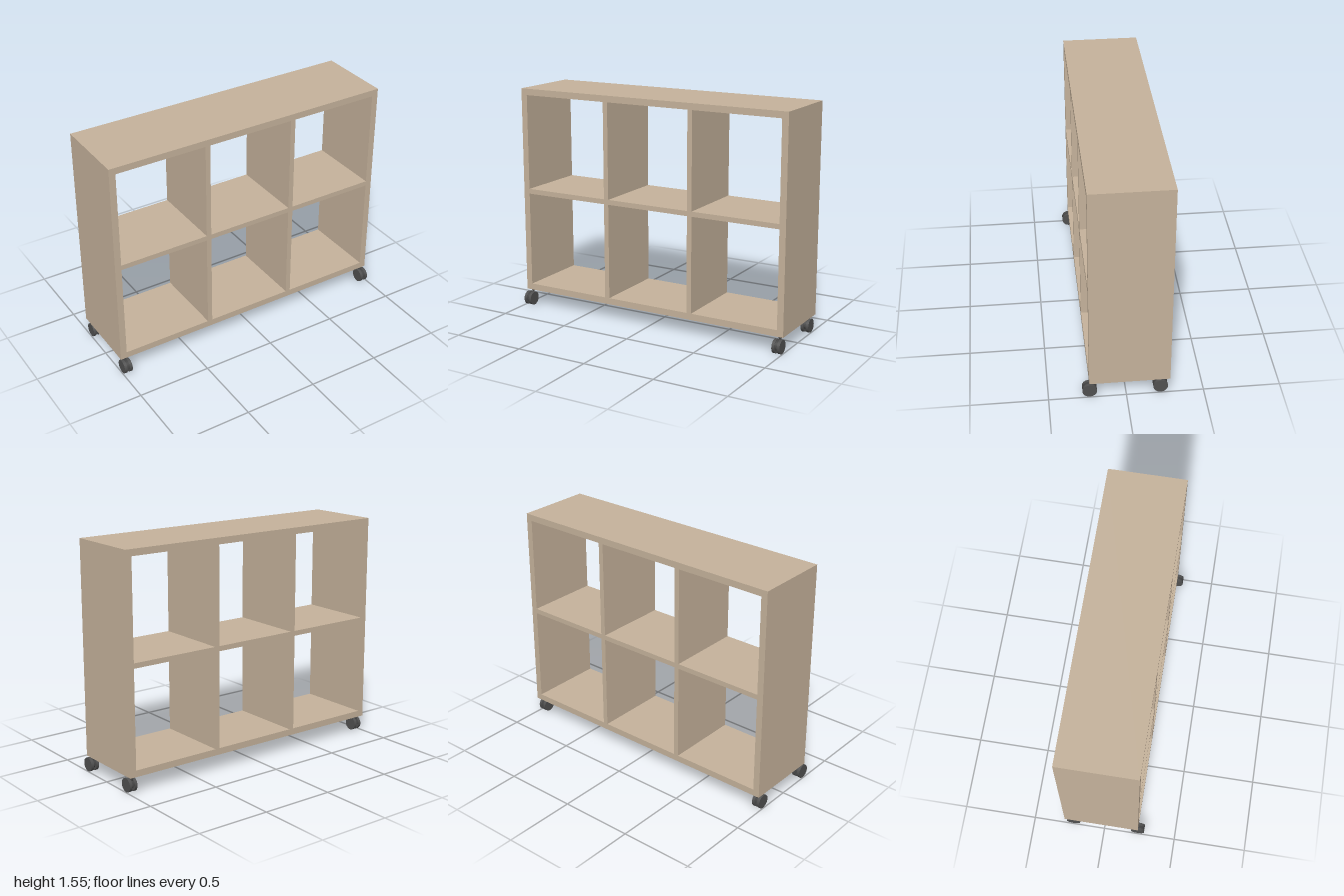
import * as THREE from 'three';

export function createModel() {
  const model = new THREE.Group();
  model.name = 'rollingShelf';
  const wood = new THREE.MeshStandardMaterial({ name: 'pale wood', color: 0xc5b29b });
  const rubber = new THREE.MeshStandardMaterial({ name: 'dark grey rubber', color: 0x505050 });
  const metal = new THREE.MeshStandardMaterial({ name: 'charcoal fitting', color: 0x444444 });

  const add = (parent, name, geometry, material, x, y, z) => {
    const mesh = new THREE.Mesh(geometry, material);
    mesh.name = name;
    mesh.position.set(x, y, z);
    parent.add(mesh);
    return mesh;
  };

  // Cabinet boards, open at front and back
  const bottom = 0.11, top = 1.55, depth = 0.52, zMid = -0.022;
  const frame = 0.044, inner = 0.034;
  const shelfY = (bottom + top) / 2;
  const board = (name, w, h, x, y) =>
    add(model, name, new THREE.BoxGeometry(w, h, depth), wood, x, y, zMid);

  board('topBoard', 2, frame, 0, top - frame / 2);
  board('bottomBoard', 2, frame, 0, bottom + frame / 2);
  board('middleShelf', 2 - 2 * frame, inner, 0, shelfY);
  const bayHeight = (top - bottom) / 2 - frame - inner / 2;
  for (const side of [-1, 1]) {
    const label = side > 0 ? 'left' : 'right';
    board(label + 'SideBoard', frame, top - bottom - 2 * frame, side * (1 - frame / 2), shelfY);
    for (const level of [-1, 1]) {
      board(label + (level > 0 ? 'Upper' : 'Lower') + 'Divider', inner, bayHeight,
        side * 0.319, shelfY + level * (inner + bayHeight) / 2);
    }
  }

  // Twin-wheel casters, all trailing towards the front
  const wheelGeometry = new THREE.CylinderGeometry(0.047, 0.047, 0.019, 32).rotateZ(Math.PI / 2);
  const hubGeometry = new THREE.CylinderGeometry(0.03, 0.03, 0.018, 24).rotateZ(Math.PI / 2);
  // Half-round hood between the wheels
  const hoodShape = new THREE.Shape();
  hoodShape.absarc(0, 0, 0.046, 0, Math.PI, false);
  const hoodGeometry = new THREE.ExtrudeGeometry(hoodShape, { depth: 0.018, bevelEnabled: false, curveSegments: 20 })
    .translate(0, 0, -0.009).rotateY(Math.PI / 2);

  for (const x of [-0.968, 0.968]) {
    for (const z of [-0.222, 0.235]) {
      const caster = new THREE.Group();
      caster.name = (z > 0 ? 'front' : 'back') + (x > 0 ? 'Left' : 'Right') + 'Caster';
      caster.position.set(x, 0.047, z);
      for (const s of [-1, 1]) add(caster, 'wheel', wheelGeometry, rubber, s * 0.0185, 0, 0);
      add(caster, 'axle', hubGeometry, metal, 0, 0, 0);
      add(caster, 'hood', hoodGeometry, metal, 0, 0, 0);
      add(caster, 'stem', new THREE.CylinderGeometry(0.007, 0.007, 0.05, 16), metal, 0, 0.035, -0.026);
      add(caster, 'collar', new THREE.CylinderGeometry(0.013, 0.013, 0.012, 20), metal, 0, 0.057, -0.026);
      model.add(caster);
    }
  }
  return model;
}
